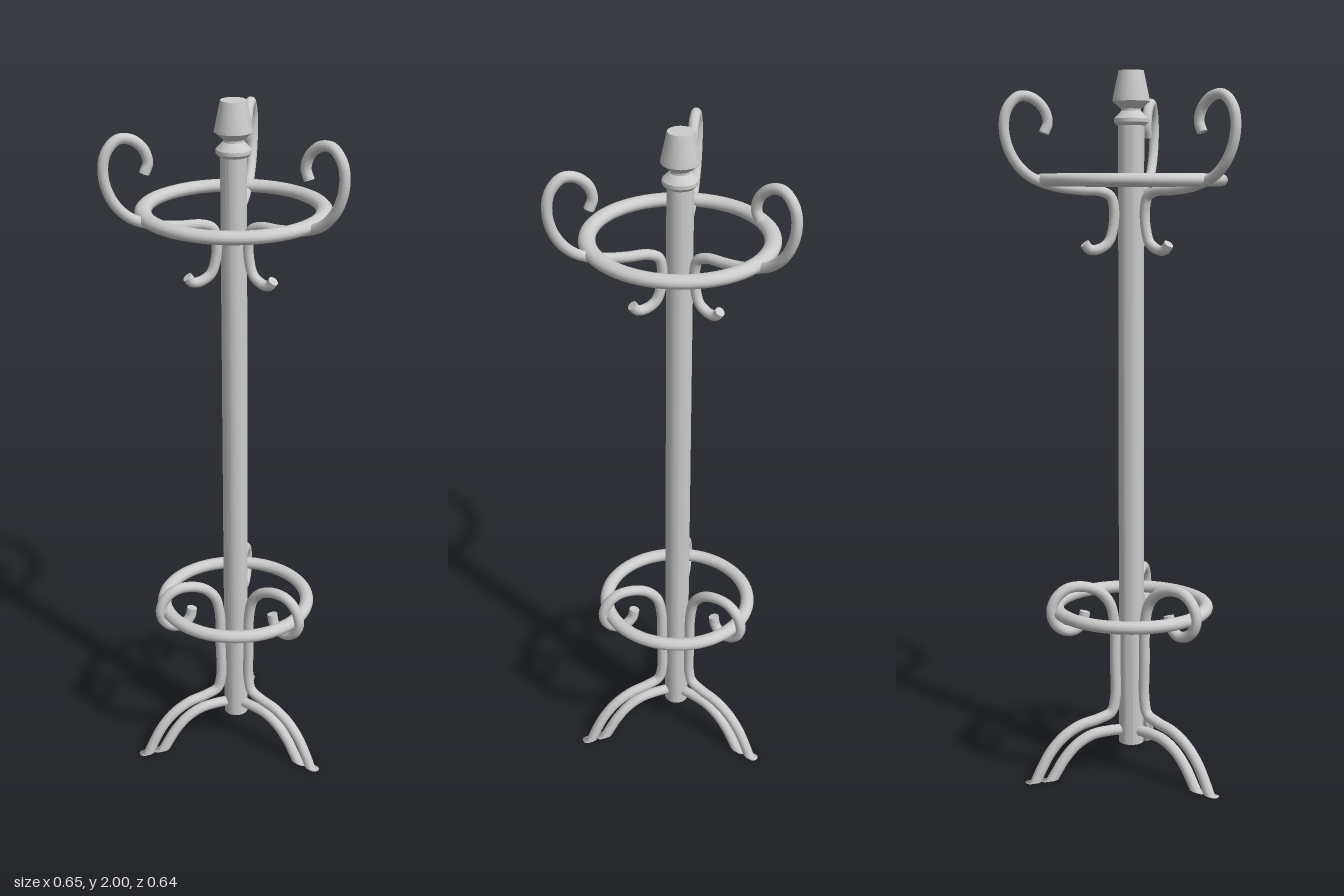
import * as THREE from 'three';
import { mergeGeometries, toCreasedNormals } from 'three/addons/utils/BufferGeometryUtils.js';

const material = new THREE.MeshStandardMaterial({ color: 0xcccccc });

function part(name, geometry) {
  const mesh = new THREE.Mesh(geometry, material);
  mesh.name = name;
  return mesh;
}

// Capped round rod through [radius, height] points in the plane of one arm
function rod(points, radius, segments) {
  const curve = new THREE.CatmullRomCurve3(points.map(([r, y]) => new THREE.Vector3(0, y, r)), false, 'centripetal');
  const pieces = [new THREE.TubeGeometry(curve, segments, radius, 12)];
  for (const t of [0, 1]) {
    const cap = new THREE.CircleGeometry(radius, 12);
    const outward = curve.getTangentAt(t).multiplyScalar(t ? 1 : -1);
    cap.applyQuaternion(new THREE.Quaternion().setFromUnitVectors(new THREE.Vector3(0, 0, 1), outward));
    const p = curve.getPointAt(t);
    pieces.push(cap.translate(p.x, p.y, p.z));
  }
  const geometry = mergeGeometries(pieces);
  // Trim feet flat on the floor
  const pos = geometry.attributes.position;
  for (let i = 0; i < pos.count; i++) pos.setY(i, Math.max(0, pos.getY(i)));
  return geometry;
}

// Horizontal ring, slightly wider than it is tall
function ring(name, radius, halfWidth, halfHeight, y) {
  const geometry = new THREE.TorusGeometry(radius, halfWidth, 14, 64);
  geometry.rotateX(Math.PI / 2).scale(1, halfHeight / halfWidth, 1).translate(0, y, 0);
  return part(name, geometry);
}

function lathe(profile, sides) {
  return toCreasedNormals(new THREE.LatheGeometry(profile.map(([r, y]) => new THREE.Vector2(r, y)), sides), 0.5);
}

export function createModel() {
  const model = new THREE.Group();
  model.name = 'coatStand';
  const stand = new THREE.Group();
  stand.name = 'stand';
  stand.position.z = -0.056;
  model.add(stand);

  // Central post and turned finial
  stand.add(part('post', lathe([[0, 0.087], [0.036, 0.087], [0.036, 1.86], [0, 1.86]], 24)));
  stand.add(part('finial', lathe([
    [0, 1.853], [0.04, 1.853], [0.048, 1.862], [0.048, 1.872], [0.028, 1.892],
    [0.028, 1.898], [0.052, 1.918], [0.05, 1.93], [0.035, 2], [0, 2]
  ], 16)));

  // Upper hat ring and lower umbrella ring
  stand.add(ring('upperRing', 0.243, 0.023, 0.018, 1.706));
  stand.add(ring('lowerRing', 0.215, 0.02, 0.018, 0.494));

  // Coat hook: small lower peg, rise along the post, arm, big curl
  const hook = rod([
    [0.135, 1.535], [0.122, 1.519], [0.1, 1.517], [0.068, 1.535], [0.053, 1.575],
    [0.05, 1.63], [0.06, 1.662], [0.09, 1.676], [0.15, 1.68], [0.22, 1.69],
    [0.29, 1.717], [0.335, 1.765], [0.357, 1.83], [0.35, 1.89], [0.317, 1.925],
    [0.28, 1.922], [0.247, 1.893], [0.237, 1.858], [0.248, 1.83]
  ], 0.0142, 120);

  // Leg: curl on the lower ring, upright beside the post, arched foot
  const leg = rod([
    [0.14, 0.492], [0.147, 0.462], [0.17, 0.441], [0.2, 0.442], [0.228, 0.464],
    [0.239, 0.5], [0.226, 0.537], [0.195, 0.562], [0.15, 0.566], [0.1, 0.548],
    [0.066, 0.51], [0.052, 0.45], [0.05, 0.34], [0.05, 0.22], [0.062, 0.182],
    [0.1, 0.166], [0.155, 0.153], [0.205, 0.125], [0.245, 0.083], [0.272, 0.037],
    [0.292, -0.005], [0.307, -0.04]
  ], 0.0155, 180);

  // Brace nested under each leg, springing from the foot of the post
  const brace = rod([
    [0.02, 0.125], [0.07, 0.126], [0.12, 0.12], [0.165, 0.097],
    [0.202, 0.06], [0.23, 0.018], [0.25, -0.015], [0.263, -0.04]
  ], 0.0155, 90);

  for (let i = 0; i < 3; i++) {
    const arm = new THREE.Group();
    arm.name = ['frontArm', 'leftArm', 'rightArm'][i];
    arm.rotation.y = i * Math.PI * 2 / 3;
    arm.add(part('coatHook', hook), part('leg', leg), part('legBrace', brace));
    stand.add(arm);
  }
  return model;
}
